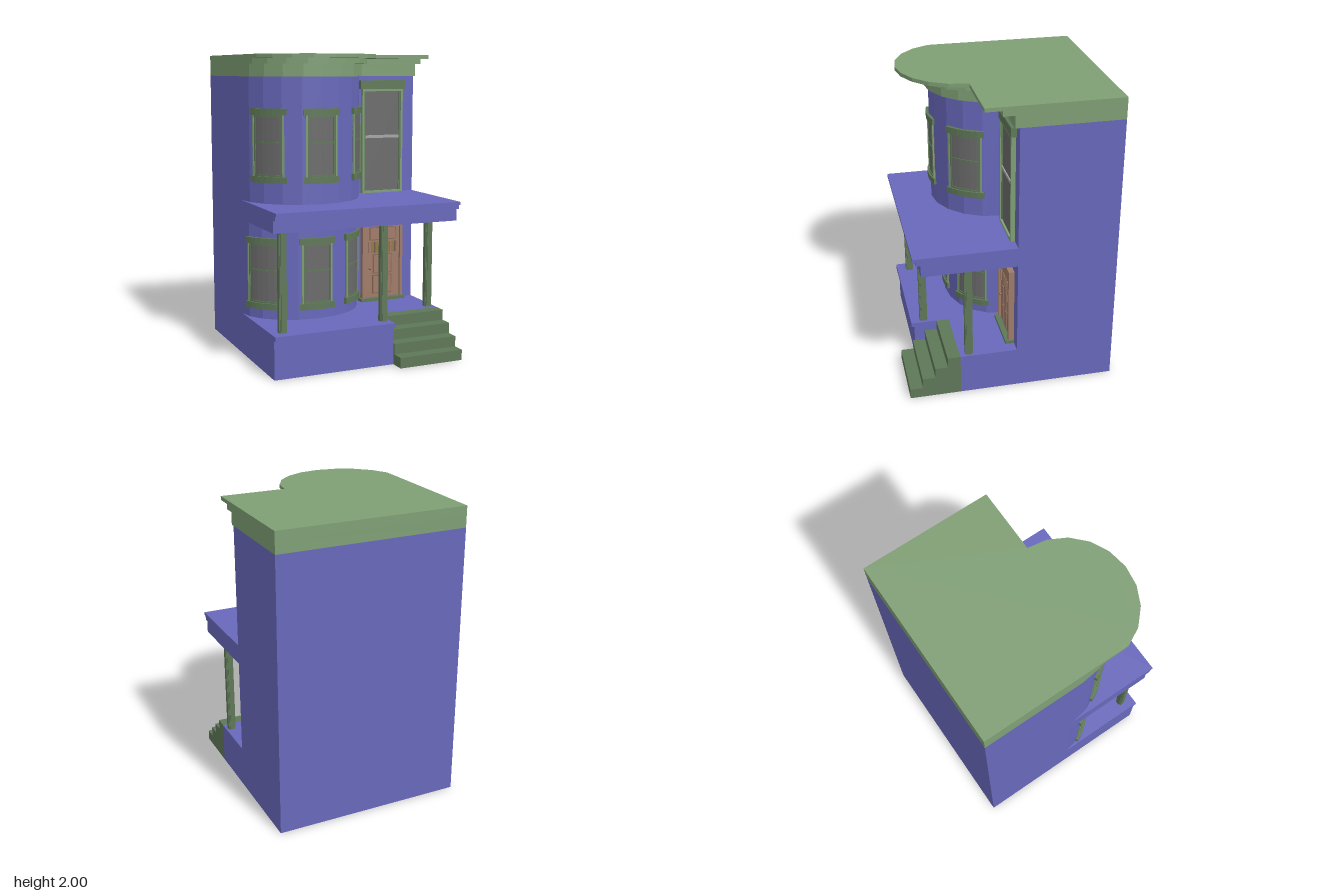
import * as THREE from 'three';

const mat = (color) => new THREE.MeshStandardMaterial({ color, side: THREE.DoubleSide, flatShading: true });
const BLUE = mat(0x6868bc), ROOF = mat(0x7f9f75), TRIM = mat(0x5f7858), GLASS = mat(0x6b6b6b),
  DOOR = mat(0xa07c6a), DOORDARK = mat(0x8a6858), GOLD = mat(0x8f7a45), RAIL = mat(0xa5a5a5);

const HALF = 0.64, BACK = -0.69, FRONT = -0.03, BAYX = -0.23;
const UPPER = { rx: 0.41, rz: 0.41 }, LOWER = { rx: 0.41, rz: 0.33 };

// Point on the bow front; angle in degrees, 0 faces forward, positive towards +x
function bayPoint(bay, deg, out = 0, z0 = FRONT) {
  const a = THREE.MathUtils.degToRad(deg);
  return [BAYX + (bay.rx + out) * Math.sin(a), z0 + (bay.rz + out) * Math.cos(a)];
}
function bayArc(bay, from, to, steps, out = 0, z0 = FRONT) {
  return Array.from({ length: steps + 1 }, (_, i) => bayPoint(bay, from + (to - from) * i / steps, out, z0));
}

export function createModel() {
  const model = new THREE.Group();
  let parent = model;

  const add = (name, geometry, material) => {
    const mesh = new THREE.Mesh(geometry, material);
    mesh.name = name;
    parent.add(mesh);
    return mesh;
  };
  const group = (name, build) => {
    const g = new THREE.Group();
    g.name = name;
    model.add(g);
    parent = g;
    build();
    parent = model;
  };
  // Box from its limits
  const box = (name, x0, x1, y0, y1, z0, z1, material) => {
    const g = new THREE.BoxGeometry(x1 - x0, y1 - y0, z1 - z0);
    return add(name, g.translate((x0 + x1) / 2, (y0 + y1) / 2, (z0 + z1) / 2), material);
  };
  // Solid slab from a plan outline of [x, z]
  const slab = (name, plan, y0, y1, material) => {
    const shape = new THREE.Shape(plan.map(([x, z]) => new THREE.Vector2(x, -z)));
    const g = new THREE.ExtrudeGeometry(shape, { depth: y1 - y0, bevelEnabled: false });
    return add(name, g.rotateX(-Math.PI / 2).translate(0, y0, 0), material);
  };
  // Thin upright wall along a plan line of [x, z], running from -x to +x at the front
  const wall = (name, plan, y0, y1, material) => {
    const p = [];
    for (let i = 0; i < plan.length - 1; i++) {
      const [[ax, az], [bx, bz]] = [plan[i], plan[i + 1]];
      p.push(ax, y0, az, bx, y0, bz, bx, y1, bz, ax, y0, az, bx, y1, bz, ax, y1, az);
    }
    const g = new THREE.BufferGeometry();
    g.setAttribute('position', new THREE.Float32BufferAttribute(p, 3));
    g.computeVertexNormals();
    return add(name, g, material);
  };
  // Curved bar that follows the bow front
  const bar = (name, bay, a0, a1, y0, y1, out, material) => {
    const plan = [...bayArc(bay, a0, a1, 6, out), ...bayArc(bay, a0, a1, 6, -0.012).reverse()];
    return slab(name, plan, y0, y1, material);
  };

  // House shell, open underneath
  group('house', () => {
    wall('backAndSideWalls', [[HALF, FRONT], [HALF, BACK], [-HALF, BACK], [-HALF, FRONT]], 0, 1.86, BLUE);
    wall('entranceWall', [[BAYX + 0.41, FRONT], [HALF, FRONT]], 0.25, 1.86, BLUE);
    wall('lowerBay', bayArc(LOWER, -90, 90, 10), 0.25, 0.95, BLUE);
    wall('upperBay', bayArc(UPPER, -90, 90, 10), 0.95, 1.86, BLUE);
  });

  // Stepped cornice and flat roof, each tier reaching further forward
  group('cornice', () => {
    [[0, 1.86, 1.94, 0.415], [0.075, 1.94, 1.975, 0.42], [0.185, 1.975, 2, 0.43]].forEach(([z, y0, y1, rx], i) => {
      const arc = bayArc({ rx, rz: 0.41 }, 90, -90, 10, 0, z).map(([x, pz]) => [Math.max(x, -HALF), pz]);
      slab('corniceTier' + (i + 1), [[-HALF, BACK], [HALF, BACK], [HALF, z], ...arc], y0, y1, ROOF);
    });
  });

  // Porch base with a lipped floor, notched for the steps
  group('porch', () => {
    const outline = (z) => [[-HALF, FRONT], [-HALF, z], [0.185, z], [0.185, 0.35], [HALF, 0.35], [HALF, FRONT]];
    wall('porchBase', outline(0.59), 0, 0.25, BLUE);
    slab('porchFloor', outline(0.61), 0.25, 0.28, BLUE);
    [[0.92, 1, 0.59], [1, 1.03, 0.62], [1.03, 1.05, 0.64]].forEach(([y0, y1, z], i) =>
      box('porchRoofTier' + (i + 1), -HALF, HALF, y0, y1, FRONT, z, BLUE));
    // Posts with notched corners
    [[-0.56, 0.52], [0.14, 0.52], [0.598, 0.288]].forEach(([x, z]) => {
      [[0.026, 0.015], [0.015, 0.026], [0.021, 0.021]].forEach(([w, d]) =>
        box('post', x - w, x + w, 0.28, 0.92, z - d, z + d, TRIM));
    });
  });

  // Entrance steps, hollow underneath
  group('steps', () => {
    const x0 = 0.185, profile = [[0.35, 0.28]];
    const edges = [0.435, 0.52, 0.605, 0.69];
    edges.forEach((z, i) => profile.push([z, 0.28 - 0.07 * i], [z, 0.21 - 0.07 * i]));
    const side = new THREE.Shape([...profile, [0.35, 0]].map(([z, y]) => new THREE.Vector2(-z, y)));
    for (const x of [x0, HALF])
      add('stepSide', new THREE.ShapeGeometry(side).rotateY(Math.PI / 2).translate(x, 0, 0), TRIM);
    edges.forEach((z, i) => {
      const y = 0.28 - 0.07 * i, w = HALF - x0, back = i ? edges[i - 1] : 0.35;
      const tread = new THREE.PlaneGeometry(w, z - back).rotateX(-Math.PI / 2);
      add('tread', tread.translate(x0 + w / 2, y, (z + back) / 2), TRIM);
      add('riser', new THREE.PlaneGeometry(w, 0.07).translate(x0 + w / 2, y - 0.035, z), TRIM);
    });
  });

  // Curved sash windows on both floors of the bow front
  const bayWindow = (name, bay, mid, half, y0, y1) => group(name, () => {
    const a = mid - half, b = mid + half, s = 2, ym = (y0 + y1) / 2 + 0.02;
    bar('sill', bay, a, b, y0, y0 + 0.042, 0.017, TRIM);
    bar('lintel', bay, a, b, y1 - 0.042, y1, 0.017, TRIM);
    bar('glass', bay, a + s, b - s, y0 + 0.04, y1 - 0.04, 0.001, GLASS);
    for (const [p, q] of [[a + s, a + s + 1.6], [b - s - 1.6, b - s]])
      bar('frameSide', bay, p, q, y0 + 0.04, y1 - 0.04, 0.011, ROOF);
    for (const [p, q] of [[a + s + 1.6, a + s + 3], [b - s - 3, b - s - 1.6]])
      bar('sashSide', bay, p, q, y0 + 0.04, y1 - 0.04, 0.006, TRIM);
    for (const y of [y0 + 0.042, ym - 0.006, y1 - 0.054])
      bar('sashRail', bay, a + s + 1.6, b - s - 1.6, y, y + 0.012, 0.006, TRIM);
  });
  [[-50, 18], [0, 16.8], [55, 18.5]].forEach(([m, h]) => bayWindow('upperWindow', UPPER, m, h, 1.185, 1.66));
  [[-54, 21], [0, 16.8], [53, 21]].forEach(([m, h]) => bayWindow('lowerWindow', LOWER, m, h, 0.345, 0.82));

  // Tall window above the entrance
  group('tallWindow', () => {
    box('lintel', 0.22, 0.56, 1.77, 1.83, FRONT, 0.005, TRIM);
    box('glass', 0.25, 0.53, 1.06, 1.76, FRONT, -0.015, GLASS);
    for (const [x0, x1] of [[0.235, 0.25], [0.53, 0.545]]) box('frameSide', x0, x1, 1.05, 1.77, FRONT, 0, ROOF);
    for (const y of [1.05, 1.755]) box('frameRail', 0.25, 0.53, y, y + 0.015, FRONT, 0, ROOF);
    for (const x of [0.25, 0.52]) box('sashSide', x, x + 0.01, 1.065, 1.755, FRONT, -0.008, TRIM);
    box('middleRail', 0.26, 0.52, 1.432, 1.452, FRONT, -0.008, RAIL);
  });

  // Panelled front door
  group('door', () => {
    box('threshold', 0.22, 0.56, 0.28, 0.3, FRONT, 0.03, TRIM);
    box('doorLeaf', 0.25, 0.535, 0.3, 0.81, FRONT, -0.008, DOOR);
    for (const [x0, x1] of [[0.237, 0.257], [0.53, 0.55]]) box('doorFrameSide', x0, x1, 0.3, 0.825, FRONT, 0.008, DOOR);
    box('doorFrameTop', 0.237, 0.55, 0.805, 0.825, FRONT, 0.008, DOOR);
    const panel = (x0, x1, y0, y1) => {
      box('panelEdge', x0, x1, y0, y1, FRONT, -0.004, DOORDARK);
      box('panelFace', x0 + 0.008, x1 - 0.008, y0 + 0.008, y1 - 0.008, FRONT, 0, DOOR);
    };
    panel(0.292, 0.502, 0.71, 0.805);
    for (const x of [0.32, 0.41]) {
      panel(x, x + 0.06, 0.47, 0.61);
      panel(x, x + 0.06, 0.325, 0.46);
    }
    box('doorLights', 0.29, 0.505, 0.622, 0.698, FRONT, -0.004, GOLD);
    for (let i = 0; i < 6; i++) {
      const x = 0.29 + i * 0.04;
      box('lightBar', x, x + 0.014, 0.622, 0.698, FRONT, 0.002, i % 2 ? DOORDARK : DOOR);
    }
    add('knob', new THREE.SphereGeometry(0.009, 10, 8).translate(0.296, 0.51, 0.004), DOORDARK);
  });

  return model;
}
